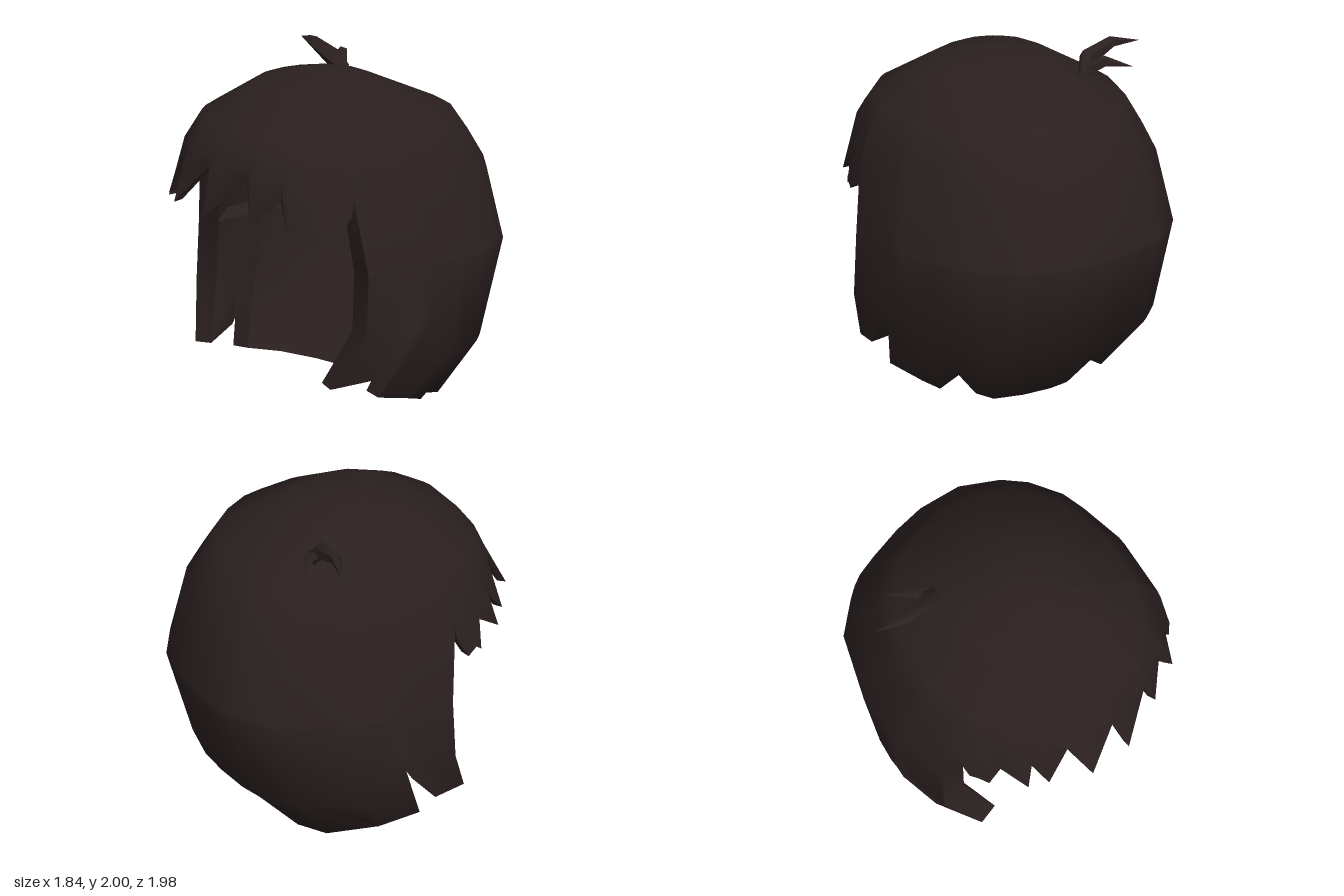
import * as THREE from 'three';
import { toCreasedNormals } from 'three/addons/utils/BufferGeometryUtils.js';

const hairMaterial = new THREE.MeshStandardMaterial({ color: 0x2b2020, side: THREE.DoubleSide });
hairMaterial.name = 'dark brown hair';

// Head cross-sections: height, half width, front z, back z
const levels = [
  [2.0, 0, 0.08, 0.08], [1.915, 0.36, 0.45, -0.25], [1.71, 0.69, 0.78, -0.7],
  [1.55, 0.765, 0.89, -0.81], [1.38, 0.83, 0.96, -0.91], [0.94, 0.91, 0.93, -1.0],
  [0.5, 0.915, 0.9, -0.87], [0.37, 0.87, 0.9, -0.83], [0, 0.55, 0.6, -0.45],
];

// Fringe hem: column angle in degrees (0 = front), then the hem point
const fringeHem = [
  [-69, -0.779, 1.38, 0.408], [-67, -0.785, 1.3, 0.43], [-65, -0.77, 1.18, 0.5],
  [-61, -0.75, 1.22, 0.56], [-56, -0.71, 1.17, 0.61], [-50, -0.64, 1.33, 0.63],
  [-41, -0.56, 1.2, 0.79], [-37, -0.5, 1.38, 0.75], [-29, -0.46, 1.25, 0.86],
  [-21, -0.3, 1.49, 0.84], [-14, -0.23, 1.26, 0.99], [0, 0, 1.51, 0.9],
  [5, 0.05, 1.22, 0.99], [21, 0.3, 1.47, 0.84], [26, 0.36, 1.22, 0.87],
  [37, 0.5, 1.37, 0.74], [43, 0.59, 1.19, 0.76], [50, 0.65, 1.33, 0.63],
  [56, 0.7, 1.17, 0.6], [61, 0.74, 1.22, 0.56], [65, 0.77, 1.18, 0.5],
  [67, 0.785, 1.3, 0.43], [69, 0.779, 1.38, 0.408],
];

// Side lock and front corner of the back panel, mirrored to both sides
const sideHem = [
  [69, 0.68, 0.235, 0.51], [80, 0.82, 0.29, 0.26], [88, 0.91, 0.52, 0.07],
  [91, 0.92, 0.61, 0.02], [93, 0.73, 0.15, 0.2], [106, 0.7, 0.1, -0.05],
];
const backHem = [
  [115, 0.66, 0.07, -0.16], [122, 0.64, 0.19, -0.3], [130, 0.54, 0.06, -0.34],
  [142, 0.47, 0.03, -0.42], [160, 0.27, 0.015, -0.46], [176, 0.06, 0.005, -0.47],
  [188, -0.08, 0.005, -0.46], [201, -0.3, 0.28, -0.64], [206, -0.34, 0.1, -0.48],
  [212, -0.38, 0.03, -0.43], [228, -0.57, 0.05, -0.33],
];
const mirroredSide = sideHem.map(([a, x, y, z]) => [360 - a, -x, y, z]).reverse();

// Corner of the rounded cross-section at an angle and height
function cornerPoint(degrees, y) {
  let i = 0;
  while (i < levels.length - 2 && levels[i + 1][0] > y) i++;
  const a = levels[i], b = levels[i + 1];
  const t = (a[0] - y) / (a[0] - b[0]);
  const [w, f, r] = [1, 2, 3].map((k) => a[k] + (b[k] - a[k]) * t);
  const s = Math.sin(degrees * Math.PI / 180), c = Math.cos(degrees * Math.PI / 180);
  const soft = (v) => Math.sign(v) * Math.abs(v) ** 0.86;
  return new THREE.Vector3(w * soft(s), y, (f + r) / 2 + (f - r) / 2 * soft(c));
}

// Point on the sixteen-sided head shape
function surfacePoint(degrees, y) {
  const step = 22.5, first = Math.floor(degrees / step) * step;
  return cornerPoint(first, y).lerp(cornerPoint(first + step, y), (degrees - first) / step);
}

// Thin inside the cap; a thick lining in the lower half and along the face opening
function innerPoint(p) {
  const thick = p.y < 0.95 || (p.z > 0.3 && p.y < 1.5);
  if (!thick) return new THREE.Vector3(p.x * 0.97, p.y - Math.max(0, p.y - 1.55) * 0.08, p.z * 0.97);
  const depth = p.z > 0 ? 0.95 : p.y < 0.5 ? 0.7 : 0.83;
  return new THREE.Vector3(p.x * 0.8, p.y, p.z * depth);
}

function innerHemPoint(p) {
  const width = p.y > 1 ? 0.94 : p.z < -0.4 ? 0.96 : 0.82;
  return new THREE.Vector3(p.x * width, p.y + 0.012, p.z * (p.z < 0 ? 0.66 : 0.95));
}

// Collects triangles, leaving out collapsed ones
function addQuad(out, a, b, c, d) {
  for (const [p, q, r] of [[a, b, c], [a, c, d]]) {
    if (p.distanceTo(q) < 1e-5 || q.distanceTo(r) < 1e-5 || r.distanceTo(p) < 1e-5) continue;
    for (const v of [p, q, r]) out.push(v.x, v.y, v.z);
  }
}

function makeMesh(name, positions, crease) {
  const geometry = new THREE.BufferGeometry();
  geometry.setAttribute('position', new THREE.Float32BufferAttribute(positions, 3));
  const mesh = new THREE.Mesh(toCreasedNormals(geometry, crease), hairMaterial);
  mesh.name = name;
  return mesh;
}

// Panel of hair running from the crown to a cut hem
function addPanel(out, hem, heightsFor) {
  const outer = hem.map(([a, x, y, z]) => [
    ...heightsFor(y, z).map((h) => surfacePoint(a, h)), new THREE.Vector3(x, y, z),
  ]);
  const inner = outer.map((col) => col.map((p, j) => (j === col.length - 1 ? innerHemPoint(p) : innerPoint(p))));
  const last = outer[0].length - 1, end = hem.length - 1;
  for (let i = 0; i < end; i++) {
    for (let j = 0; j < last; j++) {
      addQuad(out, outer[i][j], outer[i][j + 1], outer[i + 1][j + 1], outer[i + 1][j]);
      addQuad(out, inner[i][j], inner[i + 1][j], inner[i + 1][j + 1], inner[i][j + 1]);
    }
    addQuad(out, outer[i][last], inner[i][last], inner[i + 1][last], outer[i + 1][last]);
  }
  // Open side edges below the shared cap
  for (let j = 3; j < last; j++) {
    addQuad(out, outer[0][j], inner[0][j], inner[0][j + 1], outer[0][j + 1]);
    addQuad(out, outer[end][j], outer[end][j + 1], inner[end][j + 1], inner[end][j]);
  }
}

// Tapered loose strand through points with a radius each
function makeStrand(name, stations) {
  const sides = 5, out = [];
  const points = stations.map(([x, y, z]) => new THREE.Vector3(x, y, z));
  const rings = points.map((p, i) => {
    const dir = points[Math.min(i + 1, points.length - 1)].clone().sub(points[Math.max(i - 1, 0)]).normalize();
    const u = new THREE.Vector3(0, 1, 0).cross(dir).normalize();
    const v = dir.clone().cross(u);
    return Array.from({ length: sides }, (_, k) => {
      const a = k / sides * Math.PI * 2, r = stations[i][3];
      return p.clone().addScaledVector(u, Math.cos(a) * r).addScaledVector(v, Math.sin(a) * r);
    });
  });
  for (let i = 0; i < rings.length - 1; i++) {
    for (let k = 0; k < sides; k++) {
      const n = (k + 1) % sides;
      addQuad(out, rings[i][k], rings[i][n], rings[i + 1][n], rings[i + 1][k]);
    }
  }
  return makeMesh(name, out, 1.0);
}

export function createModel() {
  const model = new THREE.Group();
  model.name = 'bobHair';

  // Fringe and long back share the crown, so they are smoothed together
  const shell = [];
  addPanel(shell, fringeHem, () => [2, 1.915, 1.71, 1.55]);
  addPanel(shell, [...sideHem, ...backHem, ...mirroredSide],
    (y, z) => [2, 1.915, 1.71, 1.55, 1.38, 0.96, 0.94, z > 0.1 ? 0.57 : Math.max(0.37, y + 0.07)]);
  model.add(makeMesh('hairShell', shell, 1.1));

  // Loose tuft near the crown
  const tuft = new THREE.Group();
  tuft.name = 'tuft';
  tuft.add(makeStrand('longTuftStrand', [
    [-0.34, 1.84, -0.33, 0.04], [-0.41, 1.915, -0.28, 0.055], [-0.6, 1.965, -0.28, 0.035], [-0.78, 1.945, -0.33, 0],
  ]));
  tuft.add(makeStrand('shortTuftStrand', [
    [-0.37, 1.86, -0.32, 0.045], [-0.45, 1.91, -0.39, 0.035], [-0.58, 1.875, -0.5, 0],
  ]));
  model.add(tuft);
  return model;
}
